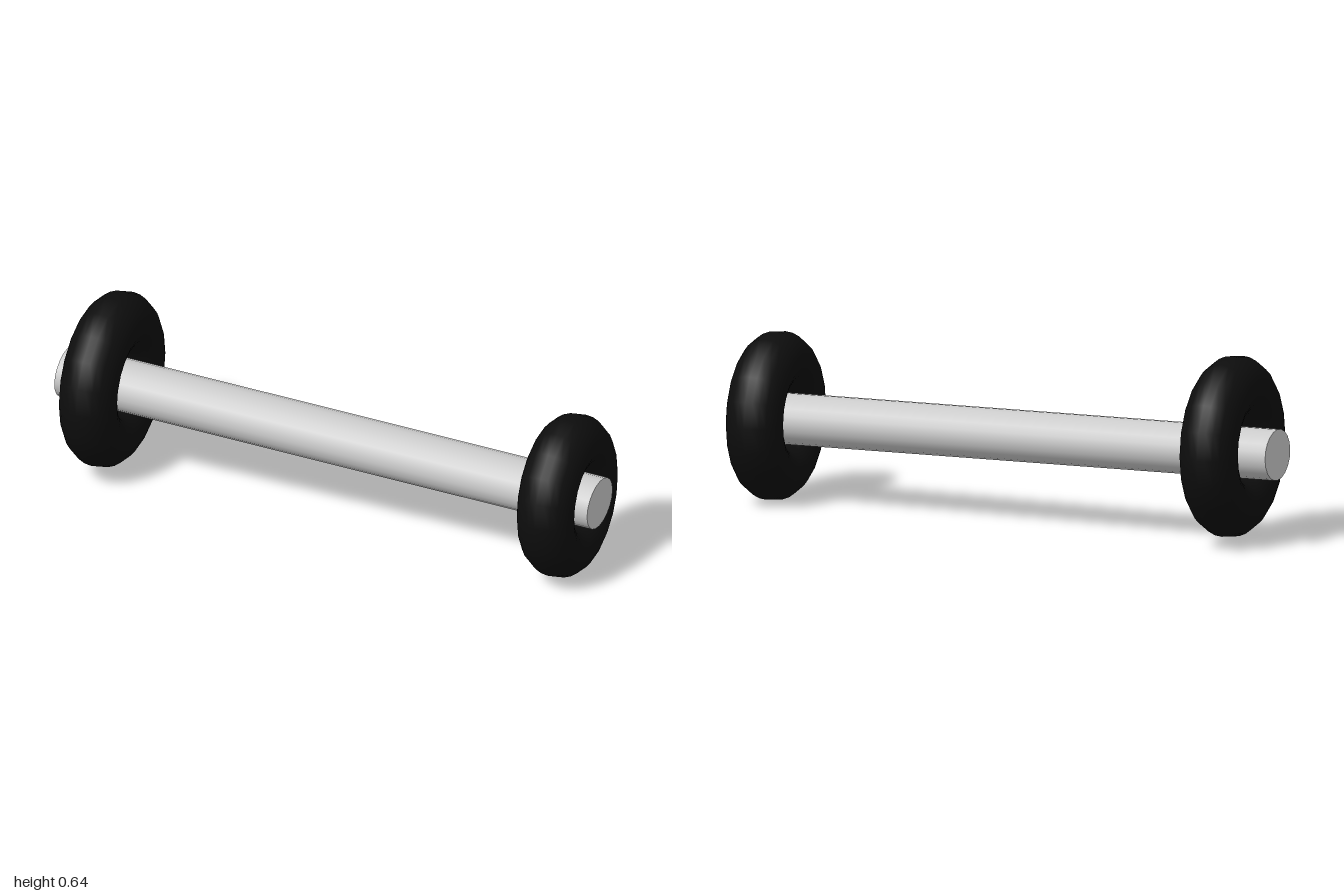
import * as THREE from 'three';

export function createModel() {
  const model = new THREE.Group();
  const grey = new THREE.MeshStandardMaterial({ color: 0xcccccc });
  const black = new THREE.MeshStandardMaterial({ color: 0x0d0d0d });

  // Slightly tilted axle with an oval section
  const axleGeometry = new THREE.CylinderGeometry(1, 1, 2, 20)
    .scale(0.0875, 0.999, 0.1015)
    .rotateZ(-Math.PI / 2);
  const axle = new THREE.Mesh(axleGeometry, grey);
  axle.name = 'axle';
  axle.position.set(0, 0.301, -0.0085);
  axle.rotation.z = -0.0165;
  model.add(axle);

  // Fat oval tyres; ring radius is twice the tube radius
  function addWheel(name, x, y, radiusY, radiusZ) {
    const geometry = new THREE.TorusGeometry(2 / 3, 1 / 3, 24, 20)
      .scale(radiusZ, radiusY, 0.3)
      .rotateY(Math.PI / 2);
    const wheel = new THREE.Mesh(geometry, black);
    wheel.name = name;
    wheel.position.set(x, y, 0);
    model.add(wheel);
  }
  addWheel('rightWheel', -0.826, 0.331, 0.312, 0.287);
  addWheel('leftWheel', 0.881, 0.292, 0.291, 0.26);

  return model;
}
